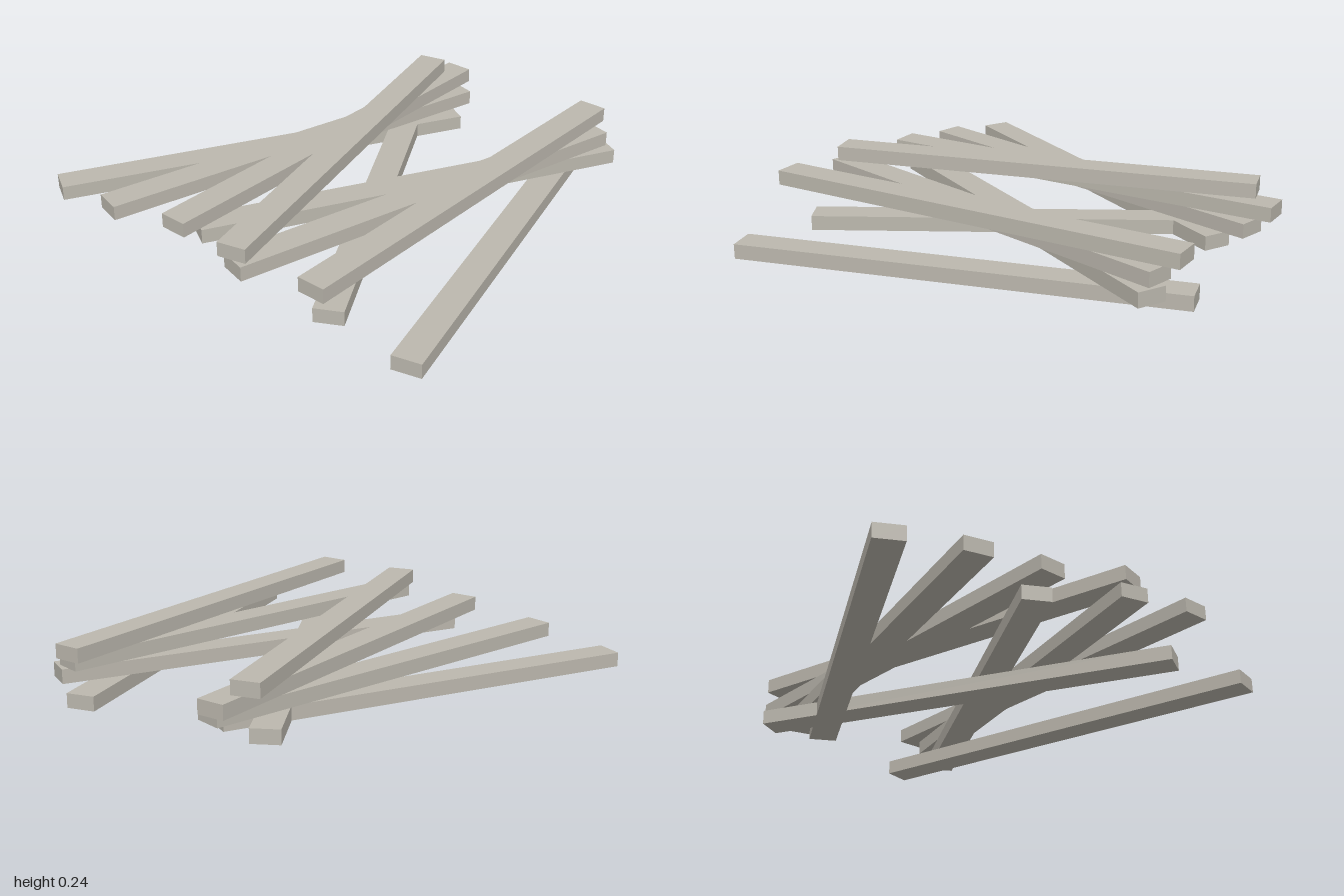
import * as THREE from 'three';

const WIDTH = 0.12, THICK = 0.0612, LENGTH = 1.83;

export function createModel() {
  const group = new THREE.Group();
  const wood = new THREE.MeshStandardMaterial({ color: 0xbcb8ae });
  wood.name = 'weathered grey';
  const beam = new THREE.BoxGeometry(WIDTH, THICK, LENGTH);

  // One beam: layer in the stack, centre x and z, turn in degrees
  // (a positive turn swings the front end towards +x).
  function addBeam(name, layer, x, z, turn) {
    const mesh = new THREE.Mesh(beam, wood);
    mesh.name = name;
    mesh.position.set(x, (layer + 0.5) * THICK, z);
    mesh.rotation.y = THREE.MathUtils.degToRad(turn);
    group.add(mesh);
  }

  // First fan, crossing near its back ends
  addBeam('firstFanOuterBeam', 0, -0.508, 0.045, -28.5);
  addBeam('firstFanCrossBeam', 0, 0.105, 0.004, 28.5);
  addBeam('firstFanSlantedBeam', 1, -0.355, 0.004, -14.3);
  addBeam('firstFanStraightBeam', 2, -0.202, -0.038, 0);
  addBeam('firstFanTopBeam', 3, -0.049, 0.045, 14.3);

  // Second fan
  addBeam('secondFanOuterBeam', 0, 0.713, -0.036, 14.3);
  addBeam('secondFanCrossBeam', 1, 0.254, -0.036, -28.5);
  addBeam('secondFanSlantedBeam', 2, 0.406, 0.045, -14.3);
  addBeam('secondFanTopBeam', 3, 0.56, 0.004, 0);

  return group;
}
